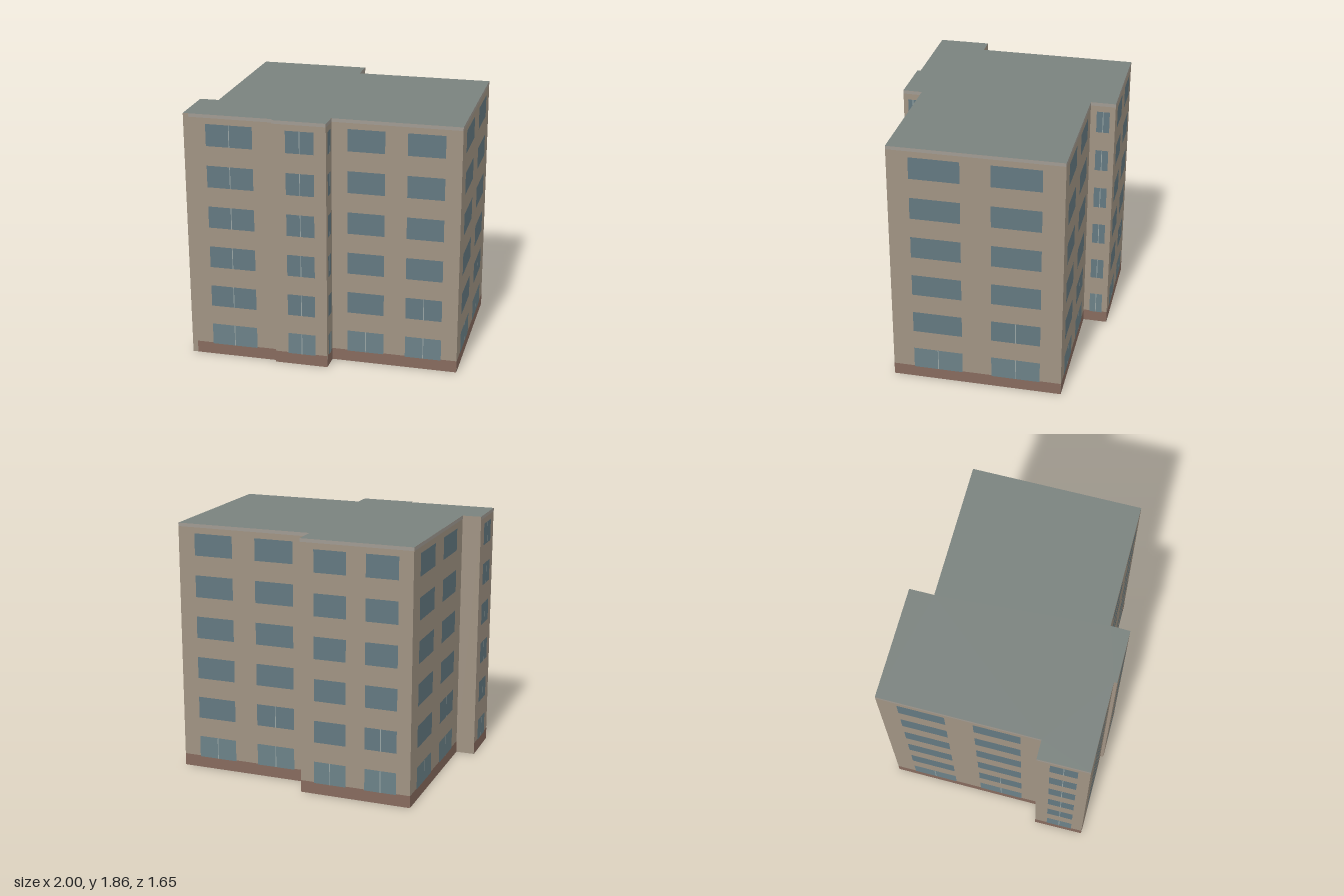
import * as THREE from 'three';
import { mergeGeometries } from 'three/addons/utils/BufferGeometryUtils.js';

const HEIGHT = 1.86, FLOORS = 6, FLOOR_STEP = 0.309;

// Footprint corners [x, z] in order around the building. Each corner also says
// how many window columns the wall starting there has.
const CORNERS = [
  [-0.95, 0.82, 1], [-0.302, 0.738, 0], [-0.297, 0.762, 1], [0.09, 0.713, 1],
  [0.076, 0.573, 2], [0.998, 0.46, 2], [0.843, -0.773, 2], [-0.164, -0.647, 1],
  [-0.186, -0.827, 2], [-1, -0.727, 2], [-0.86, 0.43, 0], [-0.998, 0.449, 1],
];
const COLUMNS = { 0: [], 1: [[0.25, 0.775]], 2: [[0.125, 0.415], [0.588, 0.875]] };

// Upright rectangle on the wall a-b, from fraction s0 to s1, pushed out a little
function patch(a, b, s0, s1, y0, y1, out = 0) {
  const dx = b[0] - a[0], dz = b[1] - a[1];
  const length = Math.hypot(dx, dz), angle = Math.atan2(-dz, dx), mid = (s0 + s1) / 2;
  return new THREE.PlaneGeometry(length * (s1 - s0), y1 - y0)
    .translate(0, 0, out)
    .rotateY(angle)
    .translate(a[0] + dx * mid, (y0 + y1) / 2, a[1] + dz * mid);
}

export function createModel() {
  const building = new THREE.Group();
  building.name = 'apartmentBlock';
  const add = (name, geometry, color, side = THREE.FrontSide) => {
    const mesh = new THREE.Mesh(geometry, new THREE.MeshStandardMaterial({ color, side }));
    mesh.name = name;
    building.add(mesh);
  };
  const walls = [], plinth = [], band = [], groundWindows = [], windows = [], mullions = [];

  CORNERS.forEach((a, i) => {
    const b = CORNERS[(i + 1) % CORNERS.length];
    const length = Math.hypot(b[0] - a[0], b[1] - a[1]);
    walls.push(patch(a, b, 0, 1, 0, HEIGHT));
    if (a[2] === 0) return; // blank wall

    // Base course and parapet band
    const start = i === 0 ? 0.06 : 0;
    plinth.push(patch(a, b, start, 1, 0, 0.09, 0.001));
    band.push(patch(a, b, start, 1, 1.835, HEIGHT, 0.001));

    // Window grid; some windows are split by a thin mullion
    COLUMNS[a[2]].forEach(([s0, s1], column) => {
      for (let floor = 0; floor < FLOORS; floor++) {
        const y0 = 0.083 + floor * FLOOR_STEP, y1 = y0 + 0.163;
        (floor === 0 ? groundWindows : windows).push(patch(a, b, s0, s1, y0, y1, 0.002));
        if (a[2] === 1 || floor <= column) {
          const mid = (s0 + s1) / 2, half = 0.003 / length;
          mullions.push(patch(a, b, mid - half, mid + half, y0, y1, 0.003));
        }
      }
    });
  });

  add('walls', mergeGeometries(walls), 0xa09383, THREE.DoubleSide);
  add('plinth', mergeGeometries(plinth), 0x866a5d);
  add('parapetBand', mergeGeometries(band), 0xa09a92);
  add('groundFloorWindows', mergeGeometries(groundWindows), 0x6b8187);
  add('upperWindows', mergeGeometries(windows), 0x637880);
  add('windowMullions', mergeGeometries(mullions), 0x98a4a3);

  // Flat roof over the footprint
  const outline = new THREE.Shape(CORNERS.map(([x, z]) => new THREE.Vector2(x, -z)));
  const roof = new THREE.ShapeGeometry(outline).rotateX(-Math.PI / 2).translate(0, HEIGHT, 0);
  add('roof', roof, 0x7a827e, THREE.DoubleSide);

  return building;
}
